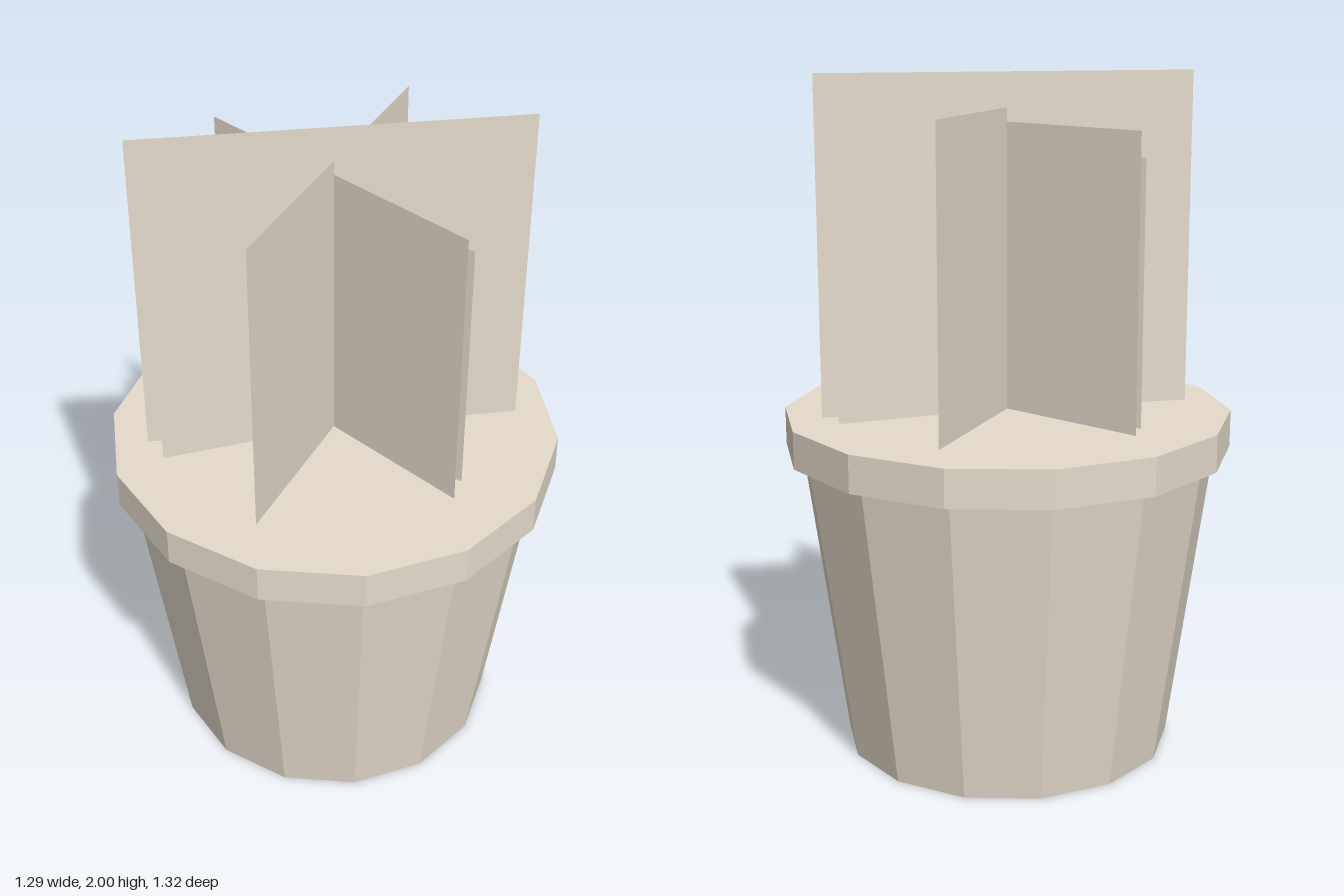
import * as THREE from 'three';

export function createModel() {
  const group = new THREE.Group();
  const makeMaterial = (name, color) => {
    const material = new THREE.MeshStandardMaterial({ color, flatShading: true, side: THREE.DoubleSide });
    material.name = name;
    return material;
  };
  const beige = makeMaterial('warm beige', 0xe5dbcc);
  const shade = makeMaterial('dark taupe', 0x8a8075);

  const SIDES = 14;
  const RIM_TOP = 1.02;

  function add(name, geometry, material, y) {
    const mesh = new THREE.Mesh(geometry, material);
    mesh.name = name;
    mesh.position.y = y;
    group.add(mesh);
    return mesh;
  }

  // Tapered pot and its overhanging rim, both with a darker underside
  const potMaterials = [beige, beige, shade]; // side, top, bottom
  add('potBody', new THREE.CylinderGeometry(0.615, 0.49, 0.91, SIDES), potMaterials, 0.455);
  add('potRim', new THREE.CylinderGeometry(0.66, 0.66, 0.11, SIDES), potMaterials, 0.965);

  // Upright leaf panels crossing at the centre: [end x, end z, top y]
  const panels = [
    [0.34, -0.43, 2.0],
    [0.25, -0.45, 1.93],
    [0.155, 0.47, 1.9],
    [0.475, 0.008, 1.86],
    [0.44, -0.065, 1.78],
  ];
  for (const [x, z, top] of panels) {
    const height = top - RIM_TOP;
    const panel = add('leafPanel', new THREE.PlaneGeometry(2 * Math.hypot(x, z), height), beige, RIM_TOP + height / 2);
    panel.rotation.y = Math.atan2(-z, x);
  }

  return group;
}
